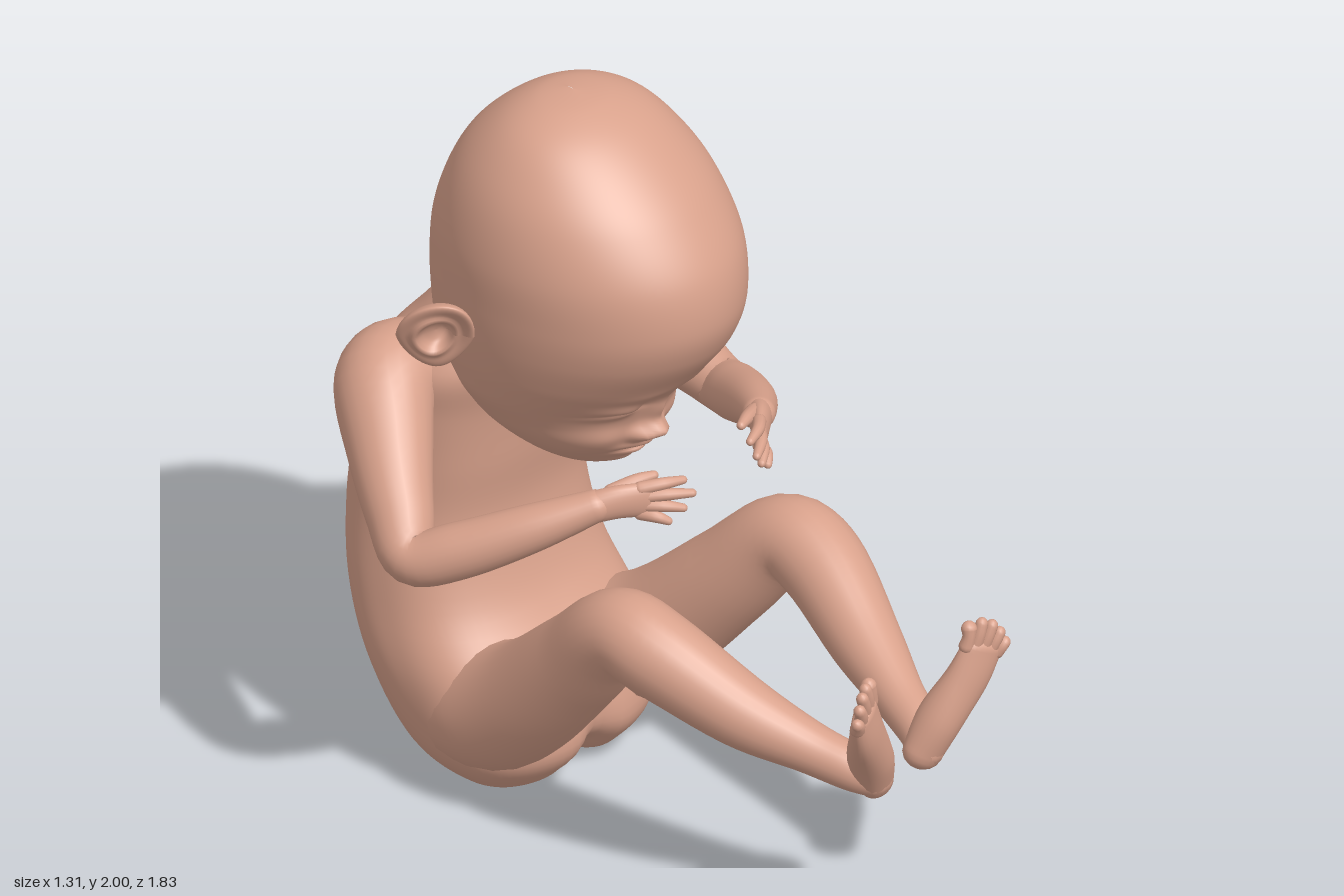
import * as THREE from 'three';

const skin = new THREE.MeshStandardMaterial({ color: 0xd8a18b });
skin.name = 'skin';

const V = (x, y, z) => new THREE.Vector3(x, y, z);
const bump = (d, s) => Math.exp(-(d * d) / (s * s));

// Smoothly resamples rows of numbers, column by column
function spline(rows, steps) {
  const out = [], last = rows.length - 1;
  for (let i = 0; i <= last * steps; i++) {
    const k = Math.min(Math.floor(i / steps), last - 1), t = i / steps - k;
    const [a, b, c, d] = [k - 1, k, k + 1, k + 2].map(n => rows[Math.max(0, Math.min(last, n))]);
    out.push(b.map((v, n) => v + 0.5 * t * (c[n] - a[n] + t * (2 * a[n] - 5 * v + 4 * c[n] - d[n]
      + t * (3 * (v - c[n]) + d[n] - a[n])))));
  }
  return out;
}

// Closed skin over rings of points
function skinRings(rings) {
  const n = rings[0].length, pos = [], index = [];
  rings.forEach(r => r.forEach(p => pos.push(p.x, p.y, p.z)));
  for (let i = 0; i < rings.length - 1; i++) {
    for (let j = 0; j < n; j++) {
      const a = i * n + j, b = i * n + (j + 1) % n;
      index.push(a, b, a + n, b, b + n, a + n);
    }
  }
  const g = new THREE.BufferGeometry();
  g.setAttribute('position', new THREE.Float32BufferAttribute(pos, 3));
  g.setIndex(index);
  g.computeVertexNormals();
  return g;
}

function add(parent, name, geometry) {
  const m = new THREE.Mesh(geometry, skin);
  m.name = name;
  parent.add(m);
}

// Stacked horizontal sections: [y, back z, front z, half width]; power 2 is an ellipse, higher is squarer
function stack(rows, steps, seg, power, shape) {
  return skinRings(spline(rows, steps).map(([y, zb, zf, w]) =>
    Array.from({ length: seg }, (_, j) => {
      const a = j / seg * Math.PI * 2, c = Math.cos(a), s = -Math.sin(a);
      const k = Math.pow(Math.abs(c) ** power + Math.abs(s) ** power, -1 / power);
      const p = V(Math.max(w, 0.0005) * c * k, y, (zb + zf) / 2 + (zf - zb) / 2 * s * k);
      shape(p, s);
      return p;
    })));
}

// Round-ended limb: [x, y, z, radius along 'wide', other radius]
function limb(points, wide = V(1, 0.1, 0.2), steps = 6, seg = 24) {
  const s = spline(points.map(p => p.length < 5 ? [...p, p[3]] : p), steps);
  const at = i => V(...s[Math.max(0, Math.min(s.length - 1, i))].slice(0, 3));
  const rings = [];
  const ring = (i, off, k) => {
    const t = at(i + 1).sub(at(i - 1)).normalize();
    const n = wide.clone().addScaledVector(t, -wide.dot(t)).normalize();
    const b = t.clone().cross(n), [, , , ra, rb] = s[i], c = at(i).addScaledVector(t, off * Math.min(ra, rb));
    rings.push(Array.from({ length: seg }, (_, j) => {
      const a = j / seg * Math.PI * 2;
      return c.clone().addScaledVector(n, Math.cos(a) * ra * k).addScaledVector(b, Math.sin(a) * rb * k);
    }));
  };
  const cap = [0.02, 0.4, 0.8, 1.2];
  cap.forEach(a => ring(0, -Math.cos(a), Math.sin(a)));
  s.forEach((_, i) => ring(i, 0, 1));
  [...cap].reverse().forEach(a => ring(s.length - 1, Math.cos(a), Math.sin(a)));
  return skinRings(rings);
}

// Cranium with a sleeping face pressed into the front
function headGeometry() {
  const rows = [
    [0.965, -0.31, -0.25, 0], [0.975, -0.38, -0.19, 0.075], [1.0, -0.45, -0.15, 0.125],
    [1.05, -0.52, -0.1, 0.185], [1.1, -0.58, -0.075, 0.23], [1.15, -0.62, -0.06, 0.262],
    [1.2, -0.66, -0.03, 0.29], [1.25, -0.68, 0.02, 0.308], [1.31, -0.695, 0.075, 0.325],
    [1.4, -0.705, 0.14, 0.342], [1.5, -0.708, 0.17, 0.352], [1.63, -0.692, 0.15, 0.354],
    [1.76, -0.645, 0.07, 0.327], [1.86, -0.585, -0.025, 0.277], [1.94, -0.5, -0.13, 0.205],
    [1.985, -0.42, -0.23, 0.11], [2.0, -0.34, -0.32, 0]];
  return stack(rows, 9, 112, 2, (p, front) => {
    if (front <= 0) return;
    const x = Math.abs(p.x), f = (cx, cy, sx, sy, amp) => amp * bump(x - cx, sx) * bump(p.y - cy, sy);
    p.z += Math.min(1, front * 2) * (
      f(0, 1.11, 0.035, 0.028, 0.06) + f(0, 1.17, 0.028, 0.045, 0.03) + f(0.04, 1.1, 0.02, 0.02, 0.03) // nose
      + f(0.13, 1.215, 0.065, 0.028, 0.022) - f(0.13, 1.205, 0.06, 0.008, 0.013)                       // eyelids
      - f(0.06, 1.22, 0.03, 0.03, 0.018) + f(0.1, 1.27, 0.08, 0.02, 0.006)                             // brow
      + f(0, 1.062, 0.06, 0.014, 0.024) + f(0, 1.03, 0.055, 0.014, 0.022)
      - f(0, 1.047, 0.075, 0.006, 0.012)                                                              // lips
      + f(0, 0.995, 0.06, 0.02, 0.02) + f(0.14, 1.1, 0.06, 0.05, 0.018));                              // chin, cheeks
  });
}

// Curled trunk with spine furrow and cleft
function torsoGeometry() {
  const rows = [
    [0, -0.44, -0.4, 0], [0.008, -0.55, -0.34, 0.19], [0.05, -0.63, -0.28, 0.275],
    [0.15, -0.735, -0.22, 0.345], [0.33, -0.84, -0.27, 0.375], [0.52, -0.905, -0.4, 0.355],
    [0.73, -0.922, -0.45, 0.33], [0.92, -0.9, -0.43, 0.325], [1.08, -0.88, -0.41, 0.33],
    [1.2, -0.81, -0.38, 0.32], [1.3, -0.73, -0.36, 0.235], [1.42, -0.64, -0.35, 0.17]];
  return stack(rows, 6, 80, 2.5, (p, front) => {
    const mid = bump(p.x, 0.055), low = bump(p.y, 0.22);
    if (front < 0) p.z -= front * mid * (0.012 + 0.035 * low);
    else p.z -= front * mid * 0.05 * low;
    p.y += 0.04 * bump(p.x, 0.07) * bump(p.y, 0.12);
  });
}

// Dished ear with raised rim, leaning out at the top
function earGeometry() {
  const g = new THREE.SphereGeometry(1, 40, 40), q = g.attributes.position;
  g.rotateX(Math.PI / 2);
  const u = V(0.6, 0, -0.8), n = V(0.8, 0, 0.6), up = V(0, 1, 0);
  for (let i = 0; i < q.count; i++) {
    const x = q.getX(i), y = q.getY(i), z = q.getZ(i), r = Math.hypot(x, y);
    let d = z * (z > 0 ? 0.035 : 0.065);
    if (z > 0) d -= 0.055 * bump(Math.hypot(x + 0.2, y - 0.05), 0.55) - 0.02 * bump(r - 0.5, 0.12);
    const w = y < 0 ? 0.1 * (1 + 0.3 * y) : 0.1;
    const p = V(0.382, 1.41, -0.43).addScaledVector(u, x * w - y * 0.01 + 0.012 * (1 - y * y))
      .addScaledVector(up, y * 0.115).addScaledVector(n, d + 0.02 * r * r);
    p.z += y * 0.03;
    p.x += y * 0.035;
    q.setXYZ(i, p.x, p.y, p.z);
  }
  g.computeVertexNormals();
  return g;
}

// Arm, leg and ear of the model's left side
function buildSide(name) {
  const side = new THREE.Group();
  side.name = name;
  add(side, 'ear', earGeometry());

  add(side, 'arm', limb([
    [0.13, 1.1, -0.6, 0.1], [0.24, 1.155, -0.65, 0.13], [0.355, 1.165, -0.64, 0.132],
    [0.46, 1.055, -0.53, 0.11], [0.54, 0.945, -0.425, 0.088], [0.582, 0.872, -0.345, 0.072],
    [0.525, 0.91, -0.235, 0.074], [0.42, 0.985, -0.09, 0.063], [0.31, 1.05, 0.03, 0.043]], V(0, 1, 0.1)));
  add(side, 'palm', limb([
    [0.33, 1.04, 0.01, 0.042, 0.038], [0.27, 1.06, 0.07, 0.046, 0.028], [0.215, 1.062, 0.118, 0.048, 0.02]],
  V(0.1, 1, -0.1)));
  const fingers = [[0.127, 1.1, 0.165], [0.122, 1.07, 0.192], [0.148, 1.035, 0.185], [0.188, 1.008, 0.17]];
  fingers.forEach(([x, y, z], i) => {
    const by = 1.095 - i * 0.024;
    add(side, 'finger', limb([[0.225, by, 0.108, 0.018],
      [(0.225 + x) / 2 + 0.003, (by + y) / 2 + 0.006, (0.108 + z) / 2 + 0.008, 0.016], [x, y, z, 0.011]], V(0, 1, 0), 4, 12));
  });
  add(side, 'thumb', limb([[0.27, 1.08, 0.05, 0.022], [0.21, 1.1, 0.08, 0.018], [0.165, 1.105, 0.1, 0.012]],
    V(0, 1, 0), 4, 12));

  add(side, 'leg', limb([
    [0.19, 0.22, -0.56, 0.15], [0.208, 0.25, -0.41, 0.172], [0.245, 0.36, -0.24, 0.15], [0.28, 0.56, -0.04, 0.129],
    [0.312, 0.715, 0.115, 0.114], [0.305, 0.695, 0.25, 0.114], [0.235, 0.585, 0.46, 0.094],
    [0.17, 0.52, 0.63, 0.068], [0.13, 0.485, 0.74, 0.06], [0.1, 0.462, 0.785, 0.052]]));
  const across = V(0.85, -0.4, 0.3);
  add(side, 'foot', limb([
    [0.088, 0.452, 0.785, 0.055, 0.045], [0.13, 0.54, 0.805, 0.06, 0.06],
    [0.19, 0.65, 0.845, 0.062, 0.042], [0.222, 0.73, 0.865, 0.06, 0.026]], across));
  const toes = [[0.19, 0.803, 0.852], [0.22, 0.812, 0.868], [0.245, 0.8, 0.88], [0.264, 0.775, 0.888], [0.278, 0.742, 0.893]];
  toes.forEach(([x, y, z], i) => {
    const base = V(0.222, 0.728, 0.865).addScaledVector(across, (i - 2) * 0.024);
    add(side, 'toe', limb([[base.x, base.y, base.z, 0.02],
      [(base.x + x) / 2, (base.y + y) / 2, (base.z + z) / 2 + 0.004, 0.017], [x, y - 0.008, z, i ? 0.016 : 0.021]], across, 4, 12));
  });
  return side;
}

export function createModel() {
  const model = new THREE.Group();
  model.name = 'curledInfant';
  add(model, 'head', headGeometry());
  add(model, 'torso', torsoGeometry());
  const left = buildSide('leftSide'), right = buildSide('rightSide');
  right.scale.x = -1;
  model.add(left, right);
  return model;
}
